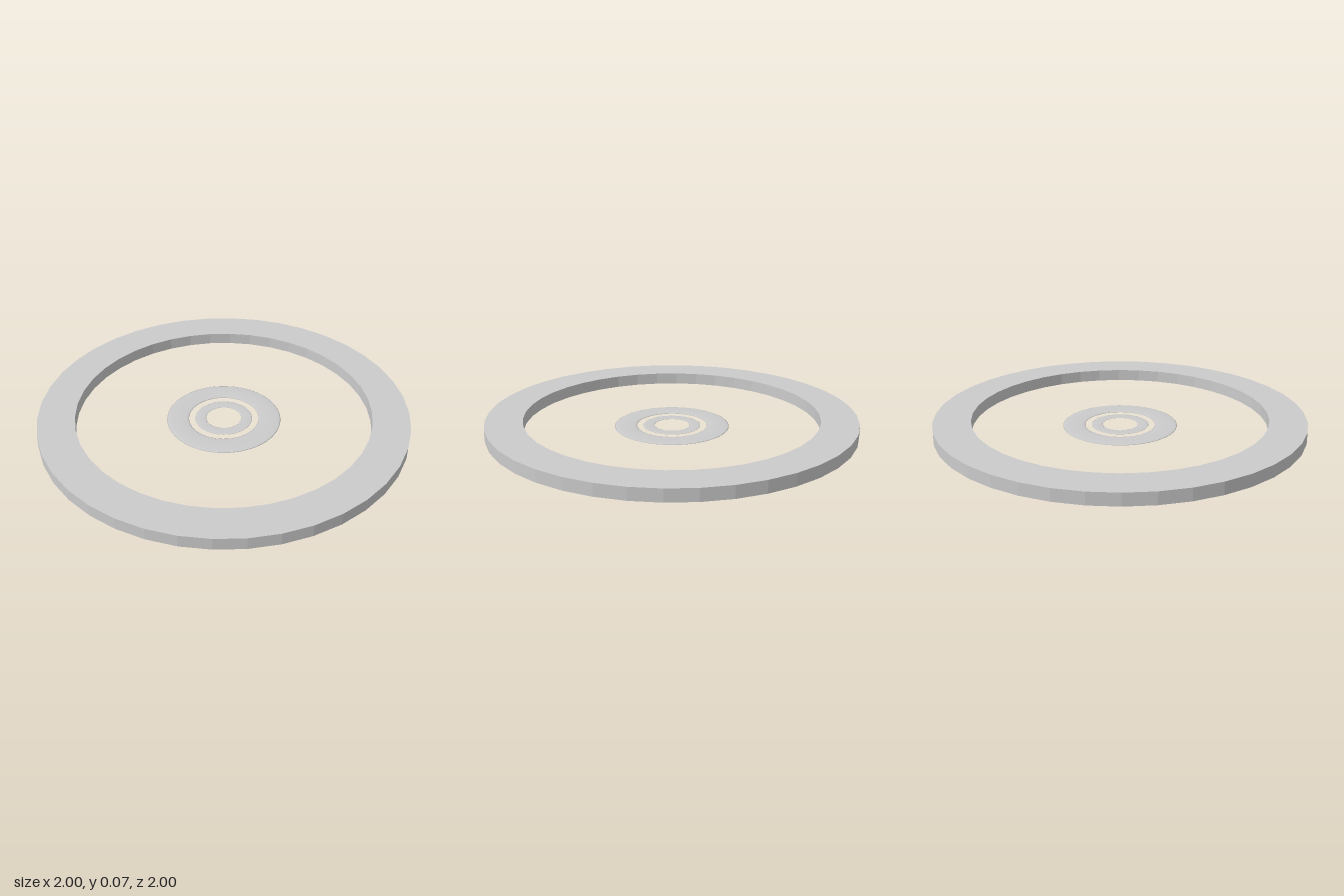
import * as THREE from 'three';

export function createModel() {
  const model = new THREE.Group();
  const flat = new THREE.MeshStandardMaterial({ color: 0xcccccc, flatShading: true });
  const smooth = new THREE.MeshStandardMaterial({ color: 0xcccccc });
  const base = 0.004;
  const top = 0.07;

  // Faceted outer ring with a rectangular section
  const section = [[0.8, base], [1, base], [1, top], [0.8, top], [0.8, base]]
    .map(([r, y]) => new THREE.Vector2(r, y));
  const outerRing = new THREE.Mesh(new THREE.LatheGeometry(section, 40), flat);
  outerRing.name = 'outerRing';
  model.add(outerRing);

  // Flattened round rings lying at the centre
  const addFlatRing = (name, radius, tube) => {
    const geometry = new THREE.TorusGeometry(radius, tube, 16, 64);
    geometry.rotateX(-Math.PI / 2);
    geometry.scale(1, base / 0.06, 1);
    const ring = new THREE.Mesh(geometry, smooth);
    ring.name = name;
    ring.position.y = base;
    model.add(ring);
  };
  addFlatRing('middleRing', 0.25, 0.06);
  addFlatRing('innerRing', 0.125, 0.03);

  return model;
}
